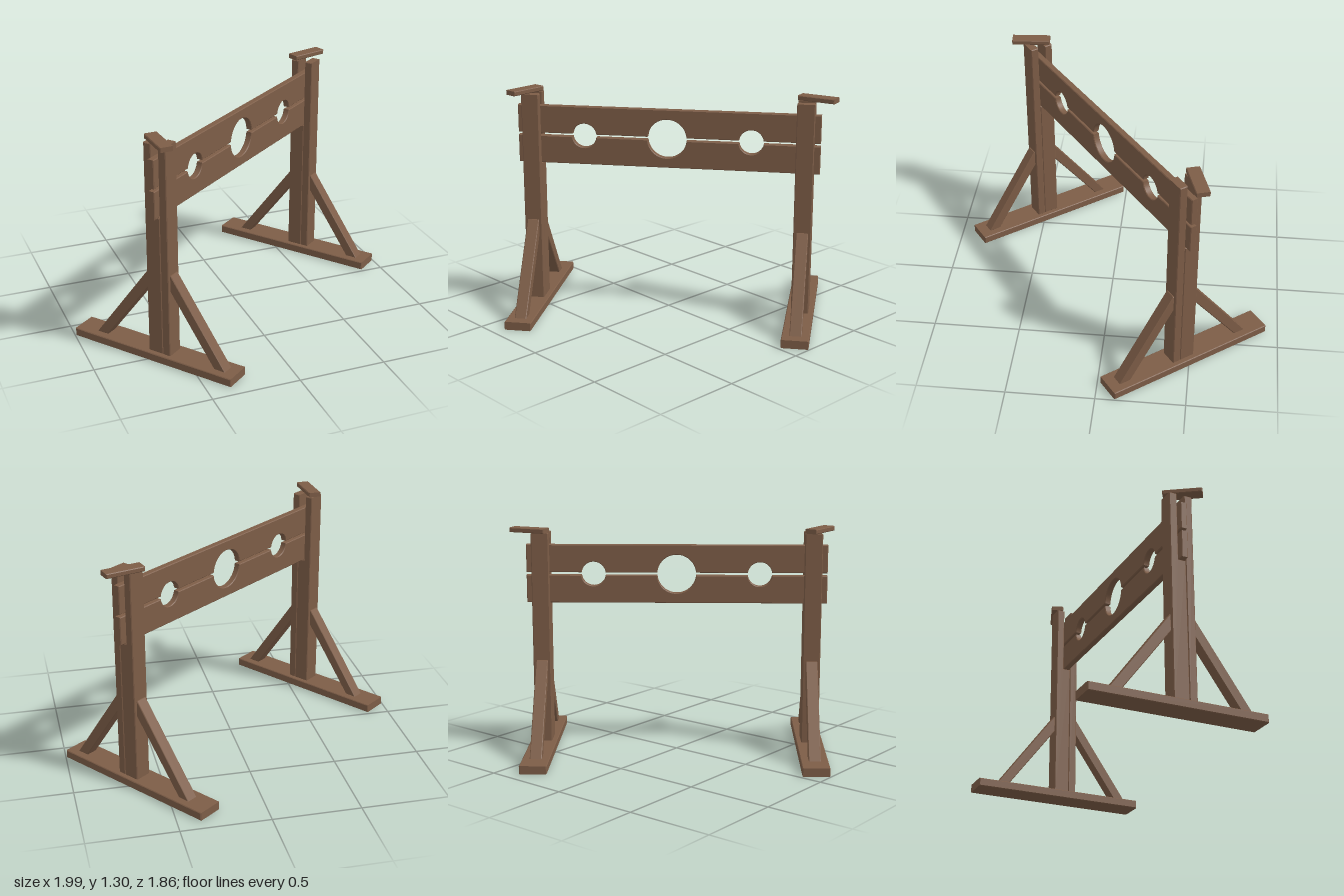
import * as THREE from 'three';

const wood = new THREE.MeshStandardMaterial({ color: 0x7d5d47 });
wood.name = 'brown wood';

// Extrudes an outline with a fine chamfer, keeping its nominal size, centred on depth
function extrude(shape, depth) {
  const b = 0.004;
  const geo = new THREE.ExtrudeGeometry(shape, {
    depth: depth - 2 * b, bevelEnabled: true, bevelThickness: b, bevelSize: b,
    bevelOffset: -b, bevelSegments: 1, curveSegments: 32,
  });
  return geo.translate(0, 0, -depth / 2 + b);
}

// Side profile given as [z, y] points, extruded across x
function profile(name, points, width) {
  const shape = new THREE.Shape(points.map(([z, y]) => new THREE.Vector2(z, y)));
  const mesh = new THREE.Mesh(extrude(shape, width).rotateY(-Math.PI / 2), wood);
  mesh.name = name;
  return mesh;
}

function rect(z0, z1, y0, y1) {
  return [[z0, y0], [z1, y0], [z1, y1], [z0, y1]];
}

// Half of the holding board, with half-round notches for the neck and wrists
function board(name, halfLength) {
  const gap = 0.008, height = 0.169;
  const s = new THREE.Shape();
  s.moveTo(-halfLength, gap);
  for (const [x, r] of [[-0.48, 0.07], [0, 0.112], [0.48, 0.07]]) {
    const a = Math.asin(gap / r);
    s.lineTo(x - r * Math.cos(a), gap);
    s.absarc(x, 0, r, Math.PI - a, a, true);
  }
  s.lineTo(halfLength, gap);
  s.lineTo(halfLength, height);
  s.lineTo(-halfLength, height);
  s.closePath();
  const mesh = new THREE.Mesh(extrude(s, 0.038), wood);
  mesh.name = name;
  mesh.position.set(0, 1.037, 0.043);
  return mesh;
}

// Foot, slotted post and two diagonal braces
function stand(name, x) {
  const g = new THREE.Group();
  g.name = name;
  g.position.x = x;
  g.add(
    profile('foot', rect(-0.515, 0.515, 0, 0.048), 0.154),
    profile('rearPost', [[-0.025, 0.046], [0.066, 0.046], [0.066, 0.866],
      [0.021, 0.866], [0.021, 1.277], [-0.025, 1.277]], 0.1),
    profile('frontPost', rect(0.066, 0.113, 0.046, 1.277), 0.1),
    profile('frontBrace', [[0.385, 0.046], [0.455, 0.046], [0.118, 0.535],
      [0.111, 0.535], [0.111, 0.44]], 0.068),
    profile('backBrace', [[-0.39, 0.046], [-0.32, 0.046], [-0.023, 0.44],
      [-0.023, 0.535], [-0.03, 0.535]], 0.068),
  );
  return g;
}

// Loose swivelling plate on top of a post
function latch(name, x, z, angle) {
  const mesh = profile(name, rect(-0.11, 0.11, 1.278, 1.305), 0.075);
  mesh.position.set(x, 0, z);
  mesh.rotation.y = angle;
  return mesh;
}

export function createModel() {
  const model = new THREE.Group();
  model.name = 'pillory';

  // The whole frame stands diagonally
  const frame = new THREE.Group();
  frame.name = 'frame';
  frame.rotation.y = THREE.MathUtils.degToRad(37.2);
  const upper = board('upperBoard', 0.868);
  const lower = board('lowerBoard', 0.868);
  lower.rotation.x = Math.PI;
  frame.add(stand('leftStand', 0.783), stand('rightStand', -0.783), upper, lower);

  model.add(frame,
    latch('leftLatch', 0.68, -0.5, THREE.MathUtils.degToRad(106.7)),
    latch('rightLatch', -0.615, 0.548, THREE.MathUtils.degToRad(4)));
  return model;
}
